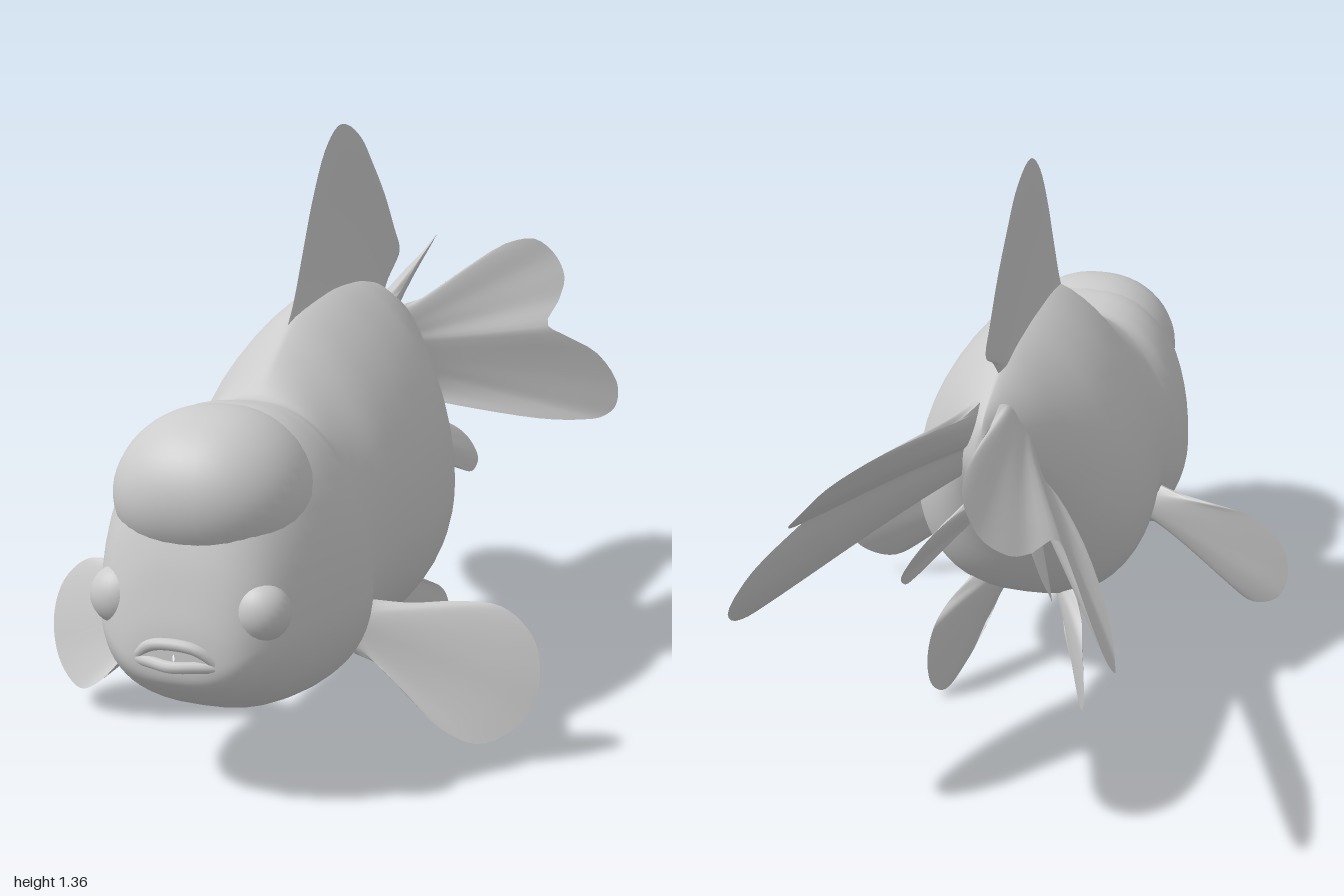
import * as THREE from 'three';
import { mergeVertices, mergeGeometries } from 'three/addons/utils/BufferGeometryUtils.js';

const skin = new THREE.MeshStandardMaterial({ color: 0xcccccc });
const finSkin = new THREE.MeshStandardMaterial({ color: 0xcccccc, side: THREE.DoubleSide });
const V = (p) => new THREE.Vector3(...p);

// Surface over u, v in 0..1 from a point function
function grid(nu, nv, fn) {
  const pos = [], idx = [];
  for (let i = 0; i <= nu; i++)
    for (let j = 0; j <= nv; j++) pos.push(...fn(i / nu, j / nv));
  for (let i = 0; i < nu; i++)
    for (let j = 0; j < nv; j++) {
      const a = i * (nv + 1) + j, c = a + nv + 1;
      idx.push(a, c, a + 1, a + 1, c, c + 1);
    }
  const g = new THREE.BufferGeometry();
  g.setAttribute('position', new THREE.Float32BufferAttribute(pos, 3));
  g.setIndex(idx);
  g.computeVertexNormals();
  return g;
}

// Close seams and smooth across them
function weld(g) {
  g.deleteAttribute('normal');
  g.deleteAttribute('uv');
  const merged = mergeVertices(g, 1e-5);
  merged.computeVertexNormals();
  return merged;
}

function add(parent, name, geometry, material = skin) {
  const m = new THREE.Mesh(geometry, material);
  m.name = name;
  parent.add(m);
  return m;
}

// Lens-section fin: an outline spline filled back to the root line between its ends
function finGeometry(points, normal, thick, side = 1) {
  const flip = ([x, y, z]) => V([x * side, y, z]);
  const pts = points.map(flip);
  const curve = new THREE.CatmullRomCurve3(pts, false, 'centripetal');
  const n = flip(normal).normalize();
  const first = pts[0], last = pts[pts.length - 1];
  const face = (sign) => grid(10, 56, (s, t) => {
    const p = first.clone().lerp(last, t).lerp(curve.getPoint(t), s);
    const h = thick * Math.pow(1 - s, 2.2) + 0.007 * (1 - s ** 6);
    return p.addScaledVector(n, sign * h * Math.sqrt(Math.sin(Math.PI * t) + 1e-9)).toArray();
  });
  return mergeGeometries([face(1), face(-1)]);
}

// Body sections: z, bottom, top, half width
const SECTIONS = [
  [0.976, 0.33, 0.345, 0.002], [0.974, 0.295, 0.39, 0.075], [0.964, 0.272, 0.45, 0.125],
  [0.94, 0.248, 0.56, 0.168], [0.895, 0.217, 0.68, 0.21], [0.81, 0.182, 0.78, 0.252],
  [0.7, 0.167, 0.818, 0.28], [0.615, 0.168, 0.81, 0.287], [0.57, 0.175, 0.805, 0.28],
  [0.535, 0.19, 0.83, 0.262], [0.45, 0.2, 0.895, 0.26], [0.35, 0.2, 0.96, 0.275],
  [0.2, 0.2, 1.0, 0.29], [0.05, 0.24, 1.0, 0.278], [-0.05, 0.335, 0.985, 0.23],
  [-0.13, 0.475, 0.965, 0.17], [-0.2, 0.595, 0.935, 0.122], [-0.27, 0.675, 0.905, 0.075],
  [-0.33, 0.74, 0.87, 0.025], [-0.34, 0.8, 0.805, 0.002],
];

function bodyGeometry() {
  const spline = (f) => new THREE.CatmullRomCurve3(SECTIONS.map(f), false, 'catmullrom', 0.5);
  const heights = spline(([z, b, t]) => V([z, b, t]));
  const widths = spline(([z, , , w]) => V([w, 0, 0]));
  return weld(grid(80, 52, (u, v) => {
    const { x: z, y: bottom, z: top } = heights.getPoint(u);
    const w = widths.getPoint(u).x;
    const mid = bottom + 0.36 * (top - bottom);
    const a = v * Math.PI * 2, c = Math.cos(a), s = Math.sin(a);
    // Full belly, rounded head, narrow ridged back
    const upper = THREE.MathUtils.lerp(1.45, 0.8, THREE.MathUtils.smoothstep(z, 0.45, 0.62));
    const x = w * Math.sign(c) * Math.pow(Math.abs(c), s < 0 ? 0.75 : upper);
    return [x, mid + s * (s < 0 ? mid - bottom : top - mid), z];
  }));
}

// Squarish ellipsoid swelling over the forehead
function hoodGeometry() {
  const g = new THREE.SphereGeometry(1, 40, 28);
  const p = g.attributes.position;
  const soft = (k, e) => Math.sign(k) * Math.pow(Math.abs(k), e);
  for (let i = 0; i < p.count; i++) {
    const y = p.getY(i);
    p.setXYZ(i, soft(p.getX(i), 0.88) * (0.218 - 0.02 * y), y * 0.172, soft(p.getZ(i), 0.95) * 0.2);
  }
  return weld(g);
}

const DORSAL = [
  [0, 0.9, 0.42], [0, 0.98, 0.36], [0, 1.09, 0.305], [0, 1.2, 0.25], [0, 1.31, 0.175],
  [0, 1.36, 0.1], [0, 1.36, 0.04], [0, 1.32, -0.05], [0, 1.255, -0.12], [0, 1.17, -0.2],
  [0, 1.08, -0.265], [0, 1.03, -0.3], [0, 1.01, -0.295], [0, 0.985, -0.25], [0, 0.92, -0.18],
];
const TAIL = [
  [0.02, 0.89, -0.24], [0.04, 0.895, -0.4], [0.07, 0.94, -0.6], [0.11, 0.98, -0.85],
  [0.15, 0.972, -0.97], [0.19, 0.93, -1], [0.23, 0.88, -0.96], [0.25, 0.83, -0.85],
  [0.27, 0.785, -0.69], [0.31, 0.75, -0.74], [0.37, 0.69, -0.83], [0.415, 0.61, -0.86],
  [0.425, 0.56, -0.82], [0.41, 0.54, -0.75], [0.38, 0.548, -0.65], [0.32, 0.575, -0.5],
  [0.22, 0.625, -0.32], [0.125, 0.665, -0.2], [0.06, 0.68, -0.16],
];
const PECTORAL = [
  [0.24, 0.36, 0.5], [0.33, 0.35, 0.46], [0.42, 0.355, 0.425], [0.52, 0.345, 0.4],
  [0.59, 0.28, 0.395], [0.61, 0.19, 0.41], [0.58, 0.1, 0.44], [0.5, 0.055, 0.49],
  [0.42, 0.095, 0.53], [0.34, 0.175, 0.545], [0.28, 0.225, 0.54], [0.22, 0.24, 0.53],
];
const PELVIC = [
  [0.08, 0.22, 0.13], [0.1, 0.14, 0.05], [0.14, 0.05, 0], [0.175, 0.003, -0.08],
  [0.195, 0.04, -0.13], [0.2, 0.12, -0.15], [0.19, 0.2, -0.13], [0.17, 0.245, -0.06],
  [0.12, 0.29, 0.03],
];
const ANAL = [
  [0.06, 0.56, -0.12], [0.105, 0.53, -0.22], [0.15, 0.475, -0.31], [0.175, 0.453, -0.37],
  [0.18, 0.48, -0.4], [0.155, 0.53, -0.4], [0.12, 0.575, -0.355], [0.09, 0.595, -0.28],
  [0.06, 0.605, -0.19], [0.04, 0.62, -0.14],
];

export function createModel() {
  const fish = new THREE.Group();
  fish.name = 'goldfish';
  add(fish, 'body', bodyGeometry());
  add(fish, 'headHood', hoodGeometry()).position.set(0, 0.655, 0.763);
  add(fish, 'dorsalFin', finGeometry(DORSAL, [1, 0, 0], 0.03), finSkin);

  // Downturned lips
  const lip = (name, midY, midZ, sideY) => {
    const path = new THREE.CatmullRomCurve3([
      [-0.1, 0.322, 0.955], [-0.055, sideY, 0.973], [0, midY, midZ],
      [0.055, sideY, 0.973], [0.1, 0.322, 0.955]].map(V));
    add(fish, name, new THREE.TubeGeometry(path, 32, 0.013, 10));
  };
  lip('upperLip', 0.366, 0.977, 0.358);
  lip('lowerLip', 0.32, 0.986, 0.322);

  // Paired parts
  for (const [label, side] of [['left', 1], ['right', -1]]) {
    const eye = add(fish, label + 'Eye', new THREE.SphereGeometry(0.065, 24, 18));
    eye.position.set(0.163 * side, 0.435, 0.898);
    eye.scale.set(1, 1, 0.88);
    add(fish, label + 'TailFin', finGeometry(TAIL, [0.75, 0.5, 0.3], 0.03, side), finSkin);
    add(fish, label + 'PectoralFin', finGeometry(PECTORAL, [0.25, 0.35, 0.9], 0.025, side), finSkin);
    add(fish, label + 'PelvicFin', finGeometry(PELVIC, [0.9, 0.3, 0.4], 0.025, side), finSkin);
    add(fish, label + 'AnalFin', finGeometry(ANAL, [0.75, 0.6, 0.28], 0.018, side), finSkin);
  }
  return fish;
}
